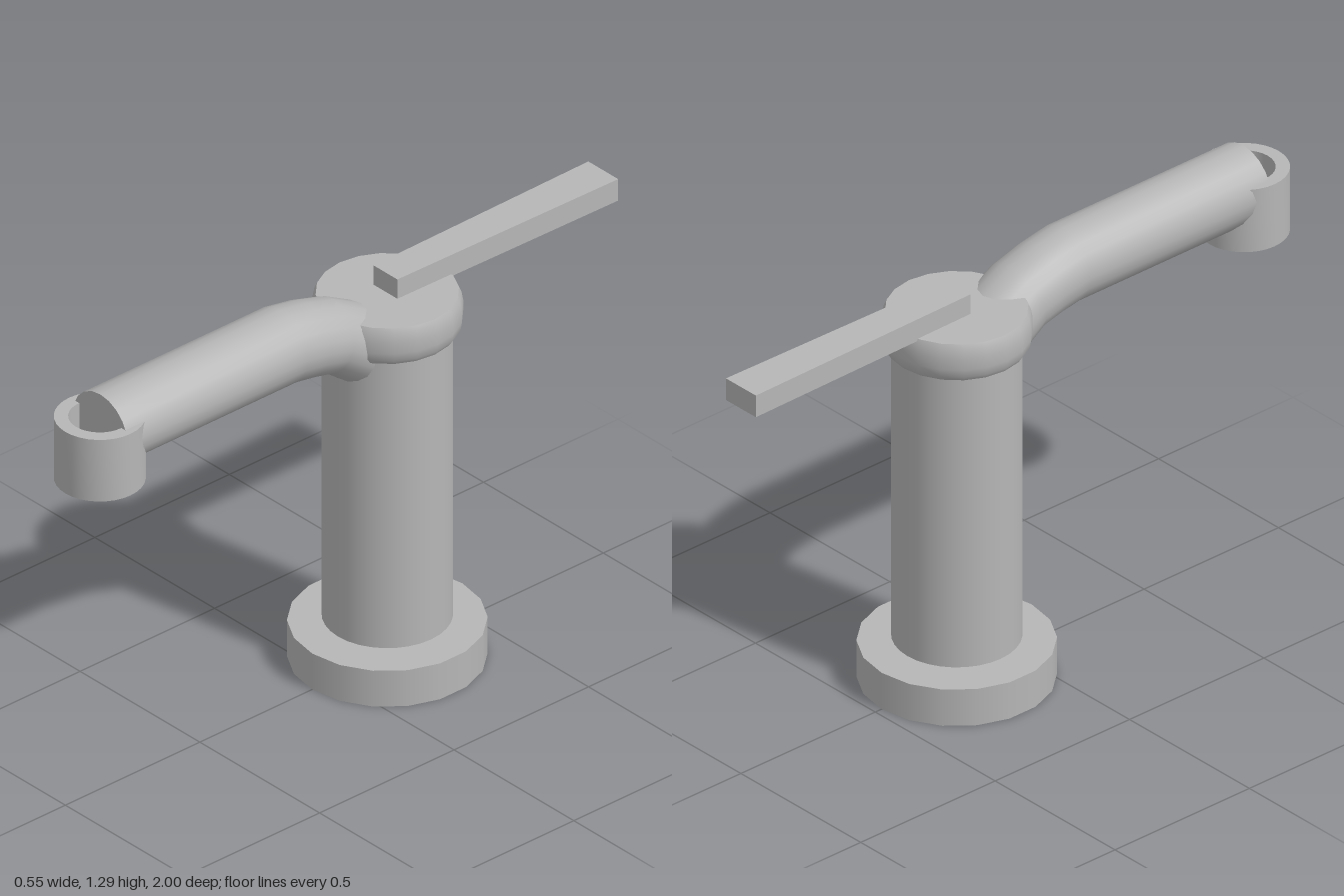
import * as THREE from 'three';
import { toCreasedNormals } from 'three/addons/utils/BufferGeometryUtils.js';

const AXIS_Z = -0.197; // centre line of the upright body

export function createModel() {
  const group = new THREE.Group();
  const metal = new THREE.MeshStandardMaterial({ color: 0xb6b6b6 });
  metal.name = 'satin grey';

  const add = (name, geometry, x = 0, y = 0, z = 0) => {
    const mesh = new THREE.Mesh(geometry, metal);
    mesh.name = name;
    mesh.position.set(x, y, z);
    group.add(mesh);
    return mesh;
  };
  const lathe = (points, sides) => toCreasedNormals(
    new THREE.LatheGeometry(points.map(([r, y]) => new THREE.Vector2(r, y)), sides), 0.7);

  // Upright body, floating slightly above the base disc
  add('base', new THREE.CylinderGeometry(0.279, 0.279, 0.117, 18), 0, 0.0585, AXIS_Z);
  add('column', new THREE.CylinderGeometry(0.183, 0.183, 0.95, 32), 0, 0.608, AXIS_Z);
  add('collar', lathe([
    [0, 1.07], [0.198, 1.07], [0.208, 1.085], [0.212, 1.11], [0.212, 1.145],
    [0.207, 1.172], [0.2, 1.187], [0, 1.187],
  ], 20), 0, 0, AXIS_Z);

  // Lever, slightly wider at its far end
  const lever = new THREE.BoxGeometry(0.1, 0.07, 0.81);
  const lp = lever.attributes.position;
  for (let i = 0; i < lp.count; i++) if (lp.getZ(i) < 0) lp.setX(i, lp.getX(i) * 1.25);
  lever.computeVertexNormals();
  add('lever', lever, 0, 1.215, -0.595);

  // Spout: rings given by their top and bottom points (z, y)
  add('spout', spoutGeometry([
    [0.87, 1.288, 0.87, 1.062],
    [0.2, 1.288, 0.2, 1.062],
    [0.1, 1.27, 0.13, 1.05],
    [0, 1.24, 0.06, 1.034],
    [-0.1, 1.187, -0.03, 0.965],
    [-0.18, 1.13, -0.12, 0.94],
  ], 0.115, 20));

  // Hollow outlet ring at the tip
  add('outlet', lathe([
    [0.088, 1.018], [0.128, 1.018], [0.128, 1.219], [0.088, 1.219], [0.088, 1.018],
  ], 32), 0, 0, 0.872);
  return group;
}

// Elliptical rings joined from front to back, with both ends closed
function spoutGeometry(rings, halfWidth, sides) {
  const pos = [];
  const index = [];
  rings.forEach(([zt, yt, zb, yb]) => {
    for (let j = 0; j < sides; j++) {
      const a = (j / sides) * Math.PI * 2;
      const t = Math.cos(a) / 2;
      pos.push(Math.sin(a) * halfWidth, (yt + yb) / 2 + (yt - yb) * t, (zt + zb) / 2 + (zt - zb) * t);
    }
  });
  for (let i = 0; i < rings.length - 1; i++) {
    for (let j = 0; j < sides; j++) {
      const a = i * sides + j;
      const b = i * sides + (j + 1) % sides;
      index.push(a, a + sides, b, b, a + sides, b + sides);
    }
  }
  const last = (rings.length - 1) * sides;
  for (let j = 1; j < sides - 1; j++) {
    index.push(0, j + 1, j);
    index.push(last, last + j, last + j + 1);
  }
  const geometry = new THREE.BufferGeometry();
  geometry.setAttribute('position', new THREE.Float32BufferAttribute(pos, 3));
  // Ring order runs clockwise seen from the front, so turn each triangle outward
  for (let k = 0; k < index.length; k += 3) {
    const [p, q, r] = [0, 1, 2].map((n) => new THREE.Vector3().fromArray(pos, index[k + n] * 3));
    const normal = q.clone().sub(p).cross(r.clone().sub(p));
    const mid = p.clone().add(q).add(r).divideScalar(3);
    const ringZ = THREE.MathUtils.clamp(mid.z, 0, 0.7);
    const core = new THREE.Vector3(0, ringZ > 0.2 ? 1.175 : 1.11 + ringZ * 0.3, ringZ);
    if (normal.dot(mid.sub(core)) < 0) [index[k + 1], index[k + 2]] = [index[k + 2], index[k + 1]];
  }
  geometry.setIndex(index);
  return toCreasedNormals(geometry, 0.7);
}
